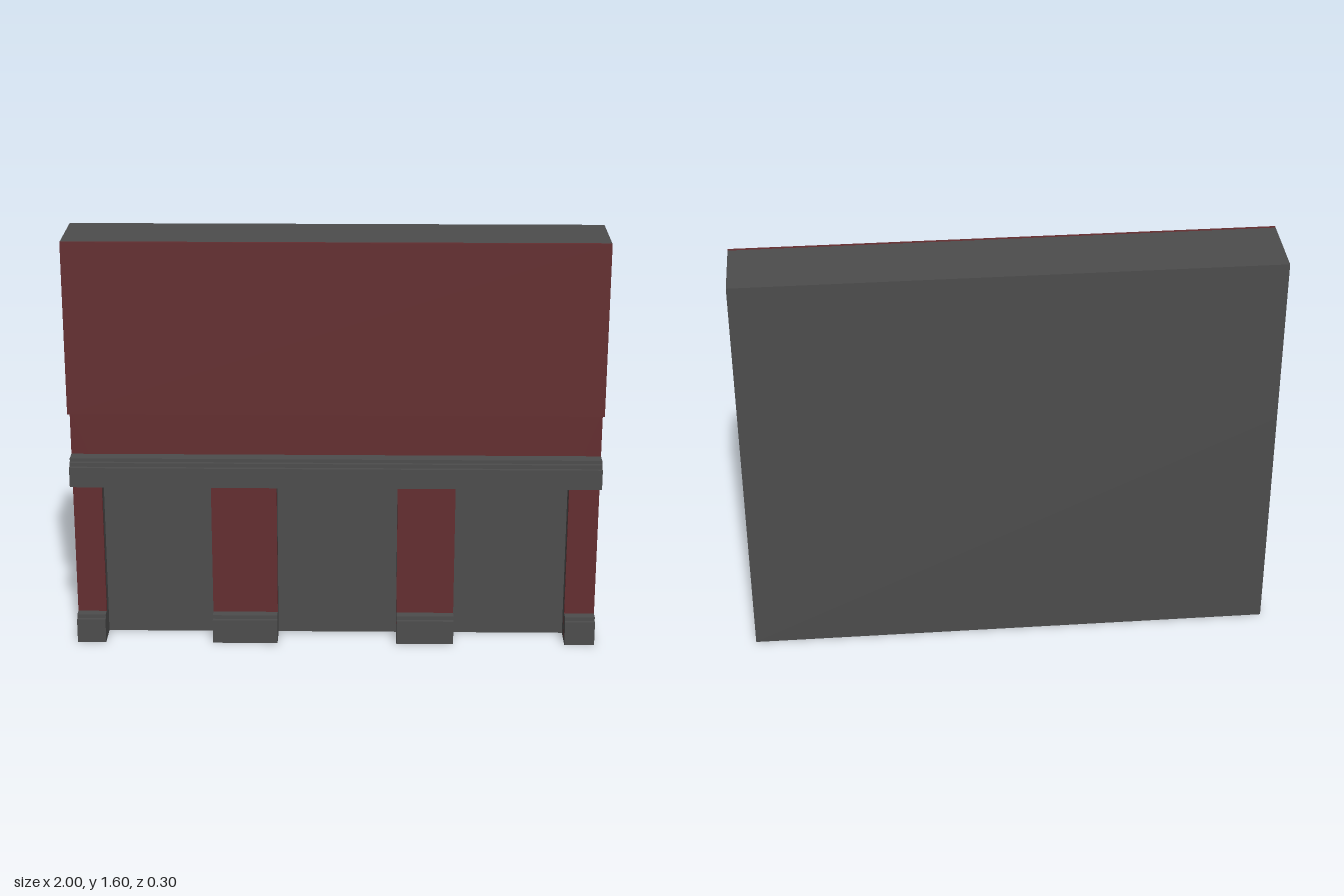
import * as THREE from 'three';

const stone = new THREE.MeshStandardMaterial({ color: 0x4c4c4c });
stone.name = 'grey stone';
const brick = new THREE.MeshStandardMaterial({ color: 0x632d2f });
brick.name = 'dark red brick';

const BACK = -0.15, RECESS = 0.01, FACE = 0.07, UPPER = 0.135, SKIN = 0.012;
const LINTEL = 0.64, OVERHANG = 0.94, TOP = 1.6;

// x ranges of the piers standing between the three recessed bays
const piers = [[-1, -0.89], [-0.475, -0.225], [0.235, 0.455], [0.885, 1]];

// Box given by its limits on each axis
function block(name, material, [x0, x1], [y0, y1], [z0, z1]) {
  const mesh = new THREE.Mesh(new THREE.BoxGeometry(x1 - x0, y1 - y0, z1 - z0), material);
  mesh.position.set((x0 + x1) / 2, (y0 + y1) / 2, (z0 + z1) / 2);
  mesh.name = name;
  return mesh;
}

// Moulding: a (z, y) profile swept along x
function moulding(name, profile, [x0, x1]) {
  const shape = new THREE.Shape(profile.map(([z, y]) => new THREE.Vector2(-z, y)));
  const geometry = new THREE.ExtrudeGeometry(shape, { depth: x1 - x0, bevelEnabled: false });
  geometry.rotateY(Math.PI / 2);
  const mesh = new THREE.Mesh(geometry, stone);
  mesh.position.x = x0;
  mesh.name = name;
  return mesh;
}

// Wall face with the bays cut out of its lower edge
function arcade(name, material, z0, z1) {
  const shape = new THREE.Shape();
  shape.moveTo(-1, OVERHANG);
  piers.forEach(([x0, x1], i) => {
    if (i > 0) shape.lineTo(x0, LINTEL);
    shape.lineTo(x0, 0);
    shape.lineTo(x1, 0);
    if (i < piers.length - 1) shape.lineTo(x1, LINTEL);
  });
  shape.lineTo(1, OVERHANG);
  shape.closePath();
  const geometry = new THREE.ExtrudeGeometry(shape, { depth: z1 - z0, bevelEnabled: false });
  const mesh = new THREE.Mesh(geometry, material);
  mesh.position.z = z0;
  mesh.name = name;
  return mesh;
}

export function createModel() {
  const wall = new THREE.Group();
  wall.name = 'wallSection';
  const full = [-1, 1];

  // Core of the wall and the overhanging upper storey
  wall.add(block('lowerCore', stone, full, [0, OVERHANG], [BACK, RECESS]));
  wall.add(block('upperCore', stone, full, [OVERHANG, TOP], [BACK, UPPER - SKIN]));
  wall.add(block('upperBrickFace', brick, full, [OVERHANG, TOP], [UPPER - SKIN, UPPER]));

  // Piers and lintel around the bays, faced with brick
  wall.add(arcade('pierCore', stone, RECESS, FACE - SKIN));
  wall.add(arcade('pierBrickFace', brick, FACE - SKIN, FACE));

  // Stepped cornice above the bays
  wall.add(moulding('cornice', [
    [FACE, 0.655], [0.15, 0.655], [0.15, 0.732], [0.135, 0.732],
    [0.135, 0.747], [0.12, 0.747], [0.12, 0.76], [FACE, 0.76],
  ], full));

  // Stepped plinth at the foot of each pier
  const plinth = [
    [RECESS, 0], [0.12, 0], [0.12, 0.095], [0.105, 0.095], [0.105, 0.11], [RECESS, 0.11],
  ];
  piers.forEach((range, i) => wall.add(moulding(`plinth${i + 1}`, plinth, range)));

  return wall;
}
